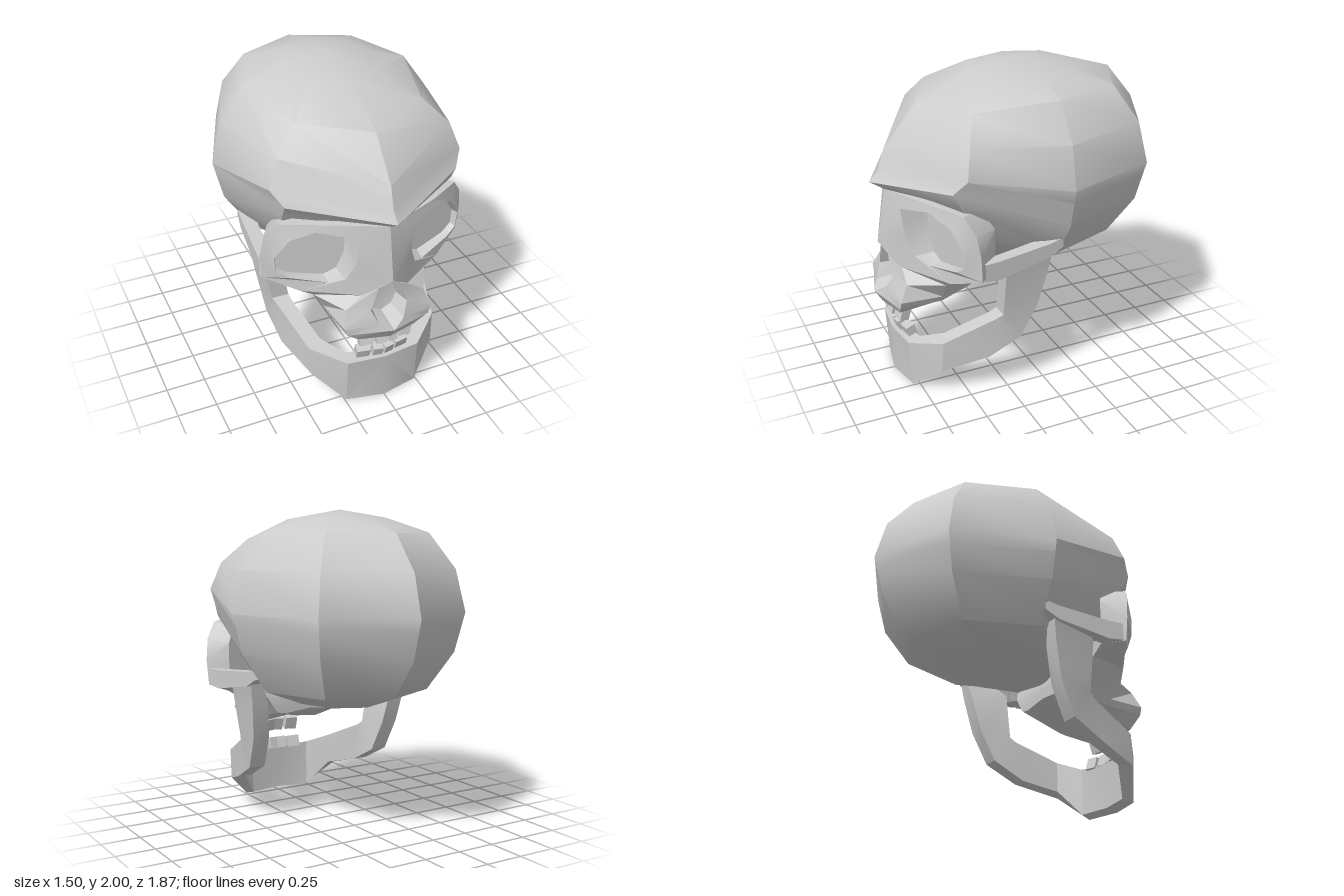
import * as THREE from 'three';
import { toCreasedNormals } from 'three/addons/utils/BufferGeometryUtils.js';

const material = new THREE.MeshStandardMaterial({ color: 0xcccccc, side: THREE.DoubleSide });
const flipX = ([x, y, z]) => [-x, y, z];
const transpose = (m) => m[0].map((_, i) => m.map((row) => row[i]));
const same = (p, q) => p.every((v, i) => Math.abs(v - q[i]) < 1e-6);

// Triangles of a surface through rows of points (rows run down, columns run to +x)
function skin(rows, closed = false) {
  const tris = [];
  const add = (a, b, c) => {
    if (!same(a, b) && !same(b, c) && !same(c, a)) tris.push([a, b, c]);
  };
  for (let r = 0; r + 1 < rows.length; r++) {
    const n = rows[r].length;
    for (let c = 0; c < (closed ? n : n - 1); c++) {
      const d = (c + 1) % n;
      add(rows[r][c], rows[r + 1][c], rows[r + 1][d]);
      add(rows[r][c], rows[r + 1][d], rows[r][d]);
    }
  }
  return tris;
}

const mirror = (tris) => tris.map(([a, b, c]) => [flipX(a), flipX(c), flipX(b)]);
const bothSides = (tris) => [...tris, ...mirror(tris)];

function makeMesh(name, tris, crease = 0.6) {
  const g = new THREE.BufferGeometry();
  g.setAttribute('position', new THREE.Float32BufferAttribute(tris.flat(2), 3));
  const mesh = new THREE.Mesh(toCreasedNormals(g, crease), material);
  mesh.name = name;
  return mesh;
}

// A bar of four-cornered sections: outer top, outer bottom, inner bottom, inner top
function bar(sections) {
  const rows = transpose(sections);
  return skin([...rows, rows[0]]);
}

// Eight-sided egg whose front columns are pulled out to a forehead and brow
function cranium() {
  const rings = [[0, 2], [0.37, 1.95], [0.71, 1.86], [0.92, 1.64], [1, 1.38],
    [0.975, 1.3], [0.92, 1.13], [0.71, 0.89], [0.37, 0.79], [0, 0.8]];
  const front = [[0, 2, -0.07], [0, 1.95, 0.27], [0, 1.77, 0.63], [0, 1.53, 0.83], [0, 1.4, 0.87],
    [0, 1.33, 0.93], [0, 1.27, 0.84], [0, 1.15, 0.5], [0, 0.78, 0.3], [0, 0.8, -0.07]];
  const temple = [[0, 2, -0.07], [0.22, 1.94, 0.2], [0.4, 1.81, 0.42], [0.55, 1.66, 0.5], [0.61, 1.49, 0.54],
    [0.55, 1.4, 0.61], [0.55, 1.31, 0.56], [0.44, 1.0, 0.36], [0.25, 0.8, 0.25], [0, 0.8, -0.07]];
  const rows = rings.map(([f, y], i) => {
    const at = (dx, dz) => [0.75 * f * dx, y, -0.07 - 0.86 * f * dz];
    const half = [temple[i], at(1, 0), at(0.7, 0.71)];
    return [front[i], ...half, at(0, 1), ...half.map(flipX).reverse()];
  });
  return makeMesh('cranium', skin(rows, true), 0.62);
}

// Eye socket with its frame, cheekbone and half of the nose bridge
function eyeFrames() {
  const back = [[0, 1.3, 0.7], [0.3, 1.3, 0.6], [0.5, 1.26, 0.42], [0.57, 1.15, 0.36], [0.57, 1.03, 0.36],
    [0.56, 0.86, 0.36], [0.42, 0.84, 0.4], [0.12, 0.85, 0.7], [0, 0.95, 0.8]];
  const outer = [[0, 1.27, 0.84], [0.35, 1.3, 0.72], [0.58, 1.27, 0.56], [0.65, 1.17, 0.51], [0.67, 1.03, 0.49],
    [0.66, 0.87, 0.48], [0.46, 0.79, 0.6], [0.15, 0.8, 0.8], [0, 0.93, 0.9]];
  const rim = [[0.17, 1.2, 0.8], [0.4, 1.25, 0.7], [0.53, 1.18, 0.62], [0.61, 1.05, 0.57], [0.6, 0.95, 0.57],
    [0.53, 0.9, 0.59], [0.31, 0.86, 0.68], [0.23, 0.9, 0.74], [0.18, 1.02, 0.78]];
  const floor = rim.map(([x, y]) => [0.4 + (x - 0.4) * 0.93, 1.05 + (y - 1.05) * 0.92, 0.68 - 0.25 * x]);
  const middle = rim.map(() => [0.4, 1.05, 0.58]);
  const frame = [...skin([back, outer, rim]), ...skin([rim, floor, middle], true)];
  // strip between the bridge ends, where the frame's loop starts and stops
  frame.push([outer[8], rim[8], rim[0]], [outer[8], rim[0], outer[0]]);
  return makeMesh('eyeFrames', bothSides(frame), 0.55);
}

// Upper jaw, wrapped from the nose edge round to the back and under the palate
function upperJaw() {
  const rows = [
    [[0.07, 0.87, 0.86], [0.15, 0.8, 0.8], [0.46, 0.79, 0.6], [0.4, 0.86, 0.34], [0, 0.88, 0.3]],
    [[0.12, 0.72, 0.86], [0.26, 0.73, 0.81], [0.38, 0.74, 0.6], [0.33, 0.78, 0.29], [0, 0.8, 0.29]],
    [[0.08, 0.63, 0.9], [0.29, 0.63, 0.86], [0.31, 0.63, 0.6], [0.27, 0.69, 0.29], [0, 0.74, 0.29]],
    [[0, 0.59, 0.94], [0.27, 0.58, 0.86], [0.29, 0.59, 0.6], [0.25, 0.67, 0.29], [0, 0.71, 0.29]],
    [[0, 0.51, 0.89], [0.19, 0.51, 0.84], [0.22, 0.55, 0.6], [0.19, 0.66, 0.29], [0, 0.69, 0.29]],
    [[0, 0.56, 0.8], [0, 0.56, 0.75], [0, 0.58, 0.6], [0, 0.68, 0.29], [0, 0.68, 0.29]],
  ];
  return makeMesh('upperJaw', bothSides(skin(rows)), 0.55);
}

// Recess behind the nose opening
function noseCavity() {
  const side = [[0.07, 0.87, 0.86], [0.12, 0.72, 0.86], [0.08, 0.63, 0.9]];
  const edge = [[0, 0.93, 0.9], ...side, [0, 0.59, 0.94], ...side.map(flipX).reverse()];
  const inner = edge.map(([x, y]) => [x * 0.8, 0.74 + (y - 0.74) * 0.8, 0.76]);
  return makeMesh('noseCavity', skin([edge, inner, inner.map(() => [0, 0.74, 0.74])], true), 0.5);
}

// Bone bridging cheek and cranium
function cheekArches() {
  const section = (x, top, bottom, z, t) =>
    [[x, top, z], [x, bottom, z], [x - t, bottom, z], [x - t, top, z]];
  return makeMesh('cheekArches', bothSides(bar([
    section(0.66, 0.98, 0.87, 0.46, 0.08),
    section(0.65, 0.98, 0.86, 0.36, 0.08),
    section(0.62, 1.01, 0.92, 0.02, 0.09),
    section(0.61, 1.03, 0.97, -0.07, 0.1),
  ])), 0.5);
}

// Lower jaw: chin to angle, then up the branch to the arch
function lowerJaw() {
  const branch = (x, t, [fy, fz], [by, bz]) =>
    [[x, fy, fz], [x, by, bz], [x - t, by, bz], [x - t, fy, fz]];
  const half = bar([
    [[0, 0.31, 0.84], [0, 0, 0.84], [0, 0.02, 0.76], [0, 0.31, 0.75]],
    [[0.24, 0.31, 0.81], [0.24, 0, 0.79], [0.22, 0.02, 0.72], [0.22, 0.33, 0.73]],
    [[0.43, 0.37, 0.65], [0.42, 0.17, 0.66], [0.34, 0.19, 0.61], [0.34, 0.39, 0.61]],
    branch(0.51, 0.1, [0.51, 0.33], [0.25, 0.38]),
    branch(0.53, 0.11, [0.54, 0.29], [0.36, 0.17]),
    branch(0.55, 0.11, [0.66, 0.29], [0.57, 0.07]),
    branch(0.58, 0.11, [0.86, 0.29], [0.8, 0.02]),
    branch(0.6, 0.08, [0.93, 0.22], [0.94, 0]),
    Array(4).fill([0.57, 0.94, 0.1]),
  ]);
  return makeMesh('lowerJaw', bothSides(half), 0.5);
}

// Two short rows of block teeth
function teeth() {
  const group = new THREE.Group();
  group.name = 'teeth';
  const rows = [['upperTooth', 0.48, 0.82, 0.3, 0.09], ['lowerTooth', 0.34, 0.785, 0.3, 0.08]];
  for (const [name, y, z, tilt, h] of rows) {
    for (const s of [-1, 1]) {
      for (const [x, w, dz] of [[0.034, 0.062, 0], [0.125, 0.085, -0.02]]) {
        const tooth = new THREE.Mesh(new THREE.BoxGeometry(w, h, 0.06), material);
        tooth.name = name;
        tooth.position.set(s * x, y, z + dz);
        tooth.rotation.set(name === 'upperTooth' ? -tilt : tilt, s * 0.15, 0);
        group.add(tooth);
      }
    }
  }
  return group;
}

export function createModel() {
  const skull = new THREE.Group();
  skull.name = 'skull';
  skull.add(cranium(), eyeFrames(), upperJaw(), noseCavity(), cheekArches(), lowerJaw(), teeth());
  return skull;
}
